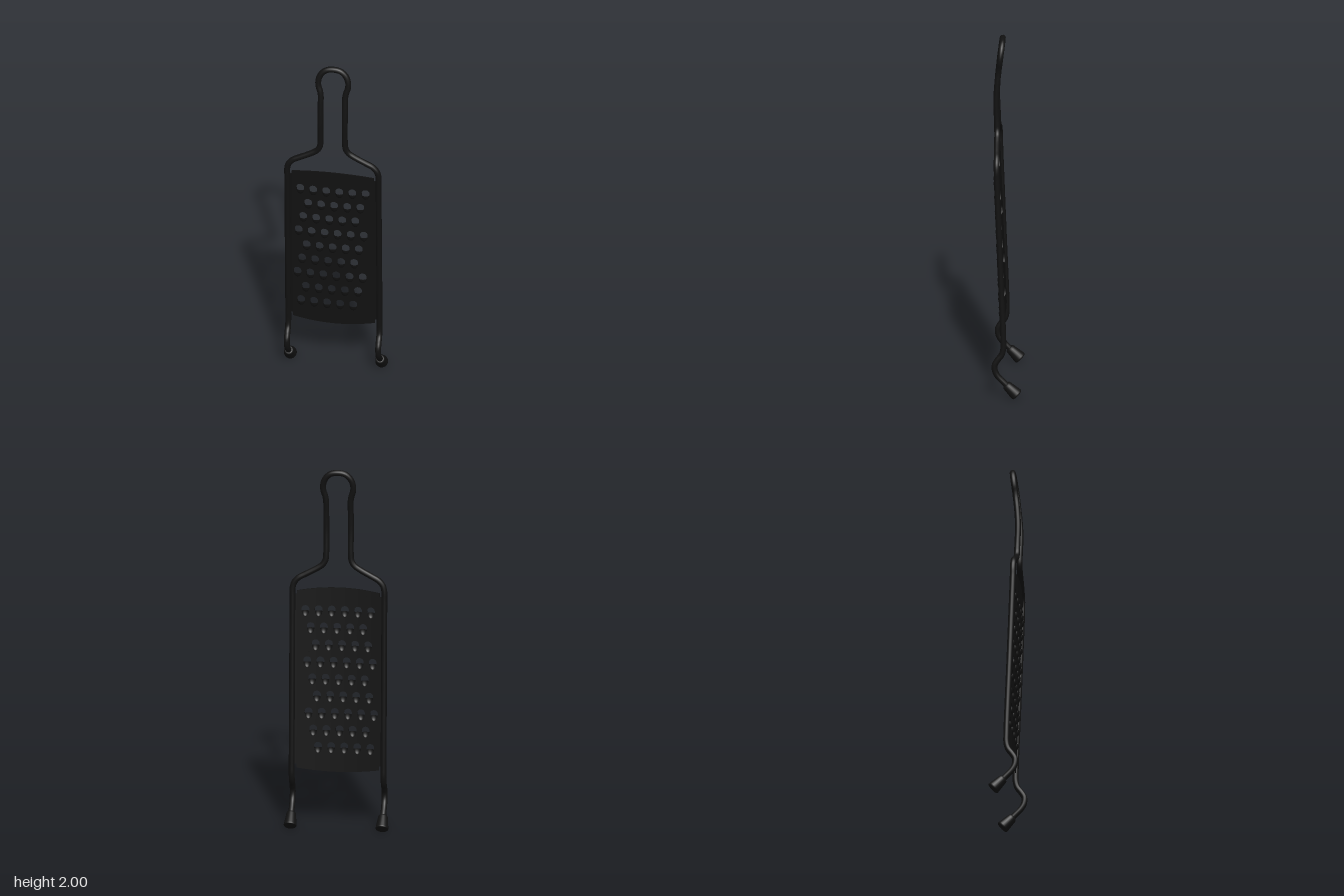
import * as THREE from 'three';
import { mergeGeometries } from 'three/addons/utils/BufferGeometryUtils.js';

const material = new THREE.MeshStandardMaterial({ color: 0x111111, side: THREE.DoubleSide });
const HALF = 0.24, BULGE = 0.014, LEAN = 0.037, THICK = 0.006;

// Plate surface: leans forward with height and bulges gently across its width
const plateZ = (x, y) => 0.018 + LEAN * (y - 0.35) + BULGE * (1 - (x / HALF) ** 2);

function bendToPlate(geometry) {
  const p = geometry.attributes.position, n = geometry.attributes.normal;
  const v = new THREE.Vector3();
  for (let i = 0; i < p.count; i++) {
    const x = p.getX(i), y = p.getY(i);
    p.setZ(i, p.getZ(i) + plateZ(x, y));
    v.fromBufferAttribute(n, i);
    v.x += v.z * 2 * BULGE * x / HALF ** 2;
    v.y -= v.z * LEAN;
    v.normalize();
    n.setXYZ(i, v.x, v.y, v.z);
  }
  return geometry;
}

// One quadrilateral piece of sheet, optionally with a grating hole
function sheetCell(x0, x1, bottom, top, hole) {
  const shape = new THREE.Shape([
    new THREE.Vector2(x0, bottom(x0)), new THREE.Vector2(x1, bottom(x1)),
    new THREE.Vector2(x1, top(x1)), new THREE.Vector2(x0, top(x0)),
  ]);
  if (hole) {
    const path = new THREE.Path();
    path.absellipse(hole.x, hole.y - 0.002, 0.021, 0.021, 0, Math.PI);
    path.absellipse(hole.x, hole.y - 0.002, 0.021, 0.042, Math.PI, Math.PI * 2);
    shape.holes.push(path);
  }
  const g = new THREE.ExtrudeGeometry(shape, { depth: THICK, bevelEnabled: false, curveSegments: 10 });
  g.translate(0, 0, -THICK / 2);
  return bendToPlate(g);
}

function createPlate() {
  const group = new THREE.Group();
  group.name = 'gratingPlate';
  const cells = [], teeth = [];
  const level = (y) => () => y;
  const step = 0.0705, pitch = 0.0945, firstRow = 1.21;
  const starts = [-0.175, -0.133, -0.16, -0.186, -0.143, -0.168, -0.194, -0.149, -0.175];

  // Rows of holes, each with a scoop-shaped tooth below it
  starts.forEach((start, row) => {
    const y = firstRow - row * pitch;
    const bottom = level(y - pitch / 2), top = level(y + pitch / 2);
    const count = row % 3 === 0 && row < 8 ? 6 : 5;
    cells.push(sheetCell(-HALF, start - step / 2, bottom, top));
    for (let i = 0; i < count; i++) {
      const x = start + i * step;
      cells.push(sheetCell(x - step / 2, x + step / 2, bottom, top, { x, y }));
      const tooth = new THREE.SphereGeometry(1, 12, 6, 0, Math.PI, Math.PI / 2, Math.PI / 2);
      tooth.scale(0.0215, 0.031, 0.015);
      tooth.translate(x, y - 0.014, plateZ(x, y - 0.014));
      teeth.push(tooth);
    }
    const end = start + (count - 0.5) * step, mid = (end + HALF) / 2;
    cells.push(sheetCell(end, mid, bottom, top), sheetCell(mid, HALF, bottom, top));
  });

  // Plain margins, then the narrower bowed lips at both ends
  const topRow = firstRow + pitch / 2, lowRow = firstRow - 8.5 * pitch;
  const bands = [
    [HALF, level(topRow), level(1.29)],
    [0.222, level(1.29), (x) => 1.33 - 0.02 * (x / 0.222) ** 2],
    [HALF, level(0.352), level(lowRow)],
    [0.222, (x) => 0.31 + 0.02 * (x / 0.222) ** 2, level(0.352)],
  ];
  for (const [half, bottom, top] of bands) {
    for (let i = 0; i < 12; i++) {
      cells.push(sheetCell(half * (i / 6 - 1), half * ((i + 1) / 6 - 1), bottom, top));
    }
  }

  const sheet = new THREE.Mesh(mergeGeometries(cells), material);
  sheet.name = 'perforatedSheet';
  const toothMesh = new THREE.Mesh(mergeGeometries(teeth), material);
  toothMesh.name = 'gratingTeeth';
  group.add(sheet, toothMesh);
  return group;
}

// Single bent wire forming legs, side rails, shoulders and handle loop
function createFrame() {
  const half = [
    [0.247, 0.06, -0.02], [0.247, 0.09, 0.01], [0.247, 0.13, 0.047], [0.247, 0.16, 0.062],
    [0.247, 0.195, 0.064], [0.247, 0.225, 0.048], [0.247, 0.255, 0.027], [0.247, 0.29, 0.018],
    [0.247, 0.35, 0.018], [0.247, 0.8, 0.035], [0.247, 1.27, 0.052], [0.247, 1.32, 0.053],
    [0.238, 1.355, 0.054], [0.215, 1.382, 0.054], [0.18, 1.402, 0.055], [0.115, 1.438, 0.056],
    [0.085, 1.46, 0.056], [0.07, 1.487, 0.057], [0.066, 1.53, 0.058], [0.066, 1.65, 0.062],
    [0.066, 1.75, 0.057], [0.066, 1.82, 0.05], [0.071, 1.85, 0.047], [0.08, 1.88, 0.043],
    [0.08, 1.915, 0.039], [0.066, 1.952, 0.034], [0.038, 1.977, 0.031],
  ];
  const right = half.map(([x, y, z]) => new THREE.Vector3(-x, y, z));
  const left = half.map((p) => new THREE.Vector3(...p)).reverse();
  const path = new THREE.CatmullRomCurve3([...right, new THREE.Vector3(0, 1.984, 0.03), ...left]);
  const frame = new THREE.Mesh(new THREE.TubeGeometry(path, 400, 0.016, 14), material);
  frame.name = 'wireFrame';
  return frame;
}

// Tapered cap on the end of a leg
function createFoot(side) {
  const profile = [
    [0, 0], [0.032, 0], [0.0345, 0.004], [0.034, 0.01], [0.026, 0.072], [0.023, 0.08], [0.016, 0.084], [0, 0.085],
  ].map(([r, y]) => new THREE.Vector2(r, y));
  const foot = new THREE.Mesh(new THREE.LatheGeometry(profile, 24), material);
  foot.name = side > 0 ? 'leftFoot' : 'rightFoot';
  foot.position.set(side * 0.247, 0.024, -0.055);
  foot.rotation.x = Math.PI / 4;
  return foot;
}

export function createModel() {
  const model = new THREE.Group();
  model.name = 'handGrater';
  model.add(createFrame(), createPlate(), createFoot(1), createFoot(-1));
  return model;
}
